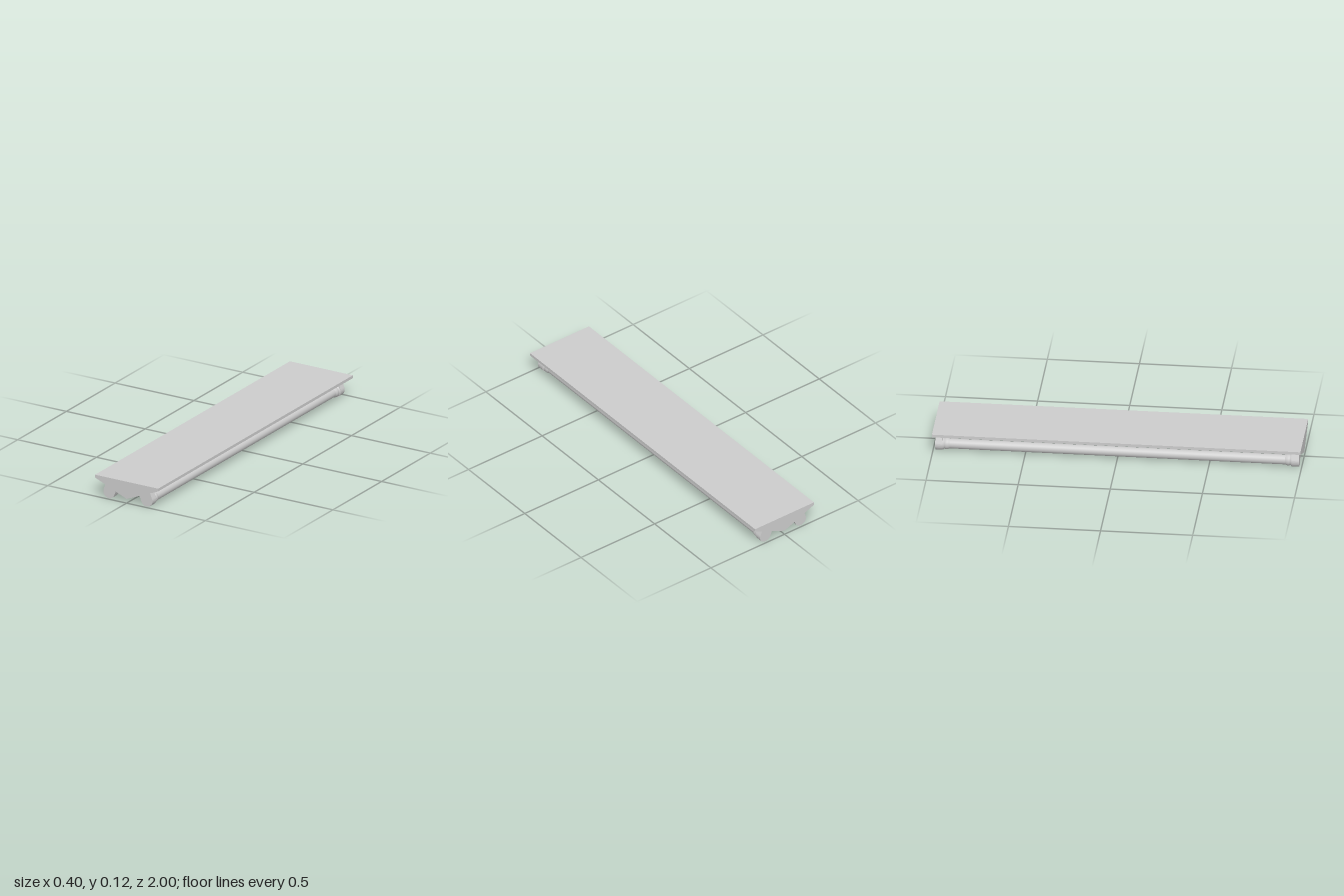
import * as THREE from 'three';

const material = new THREE.MeshStandardMaterial({ color: 0xcccccc });
const SLOPE = Math.atan2(0.084, 0.2);

// Extrude a profile along z, centred on z = 0
function extrudeZ(shape, depth) {
  const g = new THREE.ExtrudeGeometry(shape, { depth, bevelEnabled: false, curveSegments: 12 });
  return g.translate(0, 0, -depth / 2);
}

function addMesh(parent, name, geometry) {
  const mesh = new THREE.Mesh(geometry, material);
  mesh.name = name;
  parent.add(mesh);
  return mesh;
}

export function createModel() {
  const model = new THREE.Group();
  model.name = 'twinTubeLight';

  // Wedge-shaped housing
  const profile = new THREE.Shape([
    [-0.2, 0.125], [-0.2, 0.109], [0, 0.025], [0.2, 0.109], [0.2, 0.125],
  ].map(([x, y]) => new THREE.Vector2(x, y)));
  addMesh(model, 'housing', extrudeZ(profile, 2));

  // Lamp holder: flat against the slope, rounded underneath
  const r = 0.036;
  const holderShape = new THREE.Shape();
  holderShape.moveTo(r, 0.036);
  holderShape.lineTo(-r, 0.036);
  holderShape.lineTo(-r, 0);
  holderShape.absarc(0, 0, r, Math.PI, Math.PI * 2, false);
  holderShape.closePath();
  const holderGeometry = extrudeZ(holderShape, 0.04);

  // Tapered collar between holder and tube
  const collarGeometry = new THREE.LatheGeometry([
    [0.027, 0], [0.032, 0.012], [0.032, 0.022], [0.029, 0.024], [0.029, 0.03], [0.034, 0.032], [0.034, 0.04],
  ].map(([x, y]) => new THREE.Vector2(x, y)), 24).rotateX(Math.PI / 2);

  const tubeGeometry = new THREE.CylinderGeometry(0.027, 0.027, 1.92, 24).rotateX(Math.PI / 2);

  // One lamp on each slope
  for (const side of [1, -1]) {
    const lamp = new THREE.Group();
    lamp.name = side > 0 ? 'leftLamp' : 'rightLamp';
    lamp.position.set(side * 0.12, 0.037, 0);
    lamp.rotation.z = side * SLOPE;
    addMesh(lamp, 'tube', tubeGeometry);
    for (const end of [1, -1]) {
      addMesh(lamp, 'lampHolder', holderGeometry).position.z = end * 0.967;
      const collar = addMesh(lamp, 'collar', collarGeometry);
      collar.position.z = end * 0.911;
      if (end < 0) collar.rotation.y = Math.PI;
    }
    model.add(lamp);
  }
  return model;
}
